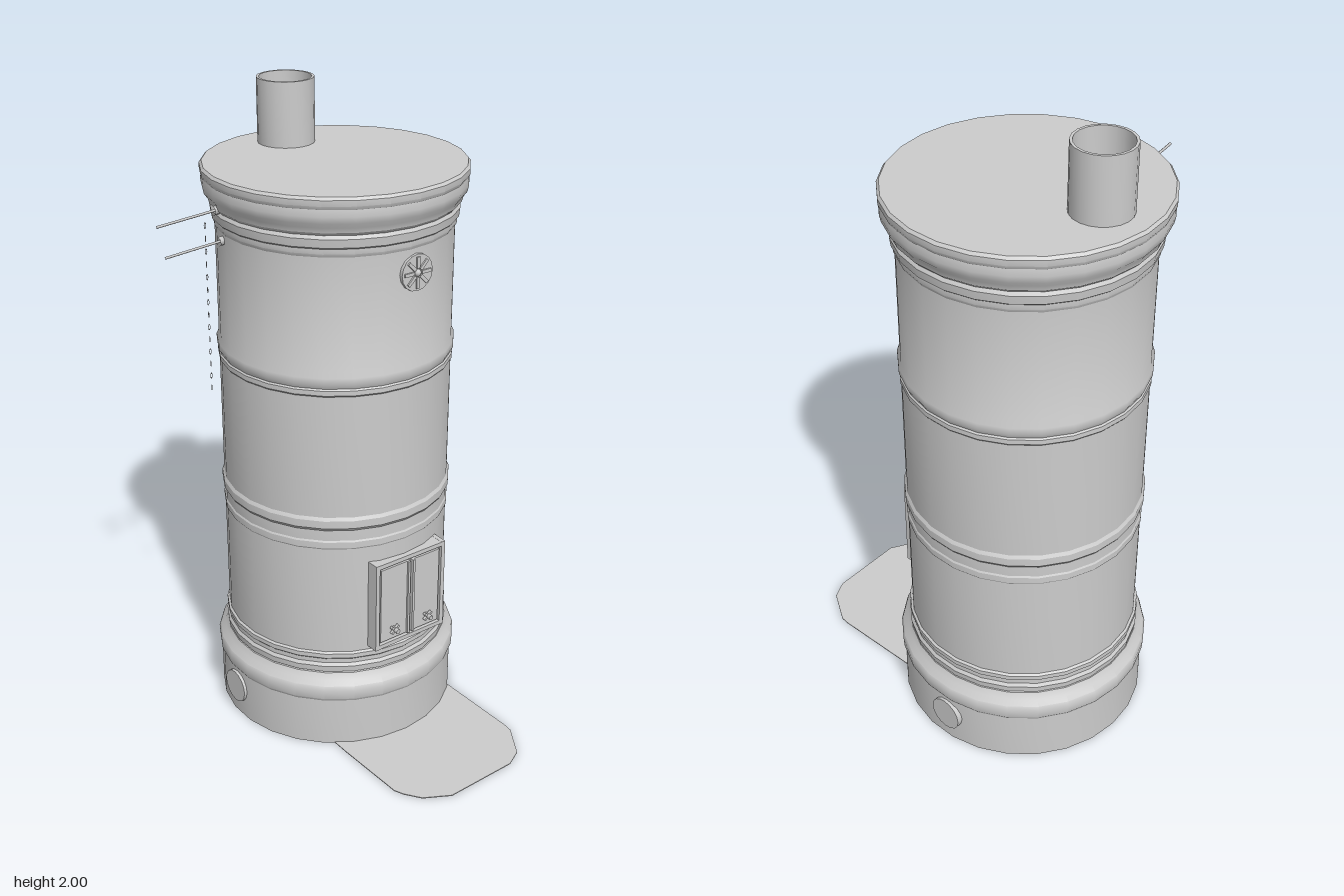
import * as THREE from 'three';
import { toCreasedNormals } from 'three/addons/utils/BufferGeometryUtils.js';

const CX = 0.09, CZ = -0.165; // axis of the stove

export function createModel() {
  const model = new THREE.Group();
  model.name = 'cylindricalStove';
  const grey = new THREE.MeshStandardMaterial({ color: 0xcccccc });
  grey.name = 'plain grey';

  function add(name, geometry, x = 0, y = 0, z = 0, parent = model) {
    const mesh = new THREE.Mesh(geometry, grey);
    mesh.name = name;
    mesh.position.set(x, y, z);
    parent.add(mesh);
    return mesh;
  }
  const lathe = (profile, sides) => toCreasedNormals(
    new THREE.LatheGeometry(profile.map(([r, y]) => new THREE.Vector2(r, y)), sides), 0.5);
  const box = (name, w, h, d, x, y, z, parent) =>
    add(name, new THREE.BoxGeometry(w, h, d), x, y, z, parent);

  // Plinth, three drums and cornice, each a stretch of one turned profile
  add('plinth', lathe([[0, 0], [0.385, 0], [0.385, 0.165], [0.391, 0.175], [0.393, 0.205],
    [0.388, 0.22], [0.372, 0.235], [0.362, 0.255], [0.352, 0.26]], 26), CX, 0, CZ);
  add('drums', lathe([[0.352, 0.255], [0.362, 0.26], [0.364, 0.28], [0.357, 0.29], [0.357, 0.305],
    [0.362, 0.31], [0.362, 0.325], [0.355, 0.33],
    [0.355, 0.70], [0.358, 0.705], [0.358, 0.725], [0.355, 0.73], [0.355, 0.765], [0.362, 0.775], [0.362, 0.80], [0.356, 0.81],
    [0.356, 1.205], [0.36, 1.21], [0.36, 1.225], [0.356, 1.23], [0.363, 1.245], [0.363, 1.265], [0.356, 1.28],
    [0.356, 1.63]], 26), CX, 0, CZ);
  add('cornice', lathe([[0.356, 1.625], [0.361, 1.635], [0.361, 1.65], [0.367, 1.655], [0.37, 1.68],
    [0.364, 1.69], [0.374, 1.70], [0.378, 1.715], [0.389, 1.73], [0.393, 1.75], [0.39, 1.77],
    [0.395, 1.78], [0.395, 1.797], [0.388, 1.805], [0, 1.805]], 26), CX, 0, CZ);

  // Open flue pipe
  add('fluePipe', lathe([[0.087, 1.79], [0.087, 2], [0.079, 2], [0.079, 1.807], [0, 1.807]], 20), 0.087, 0, -0.41);

  // Floor plate with clipped front corners
  const outline = new THREE.Shape([[-0.14, -0.08], [-0.14, -0.20], [-0.133, -0.44], [-0.12, -0.47], [-0.085, -0.518],
    [-0.005, -0.562], [0.24, -0.555], [0.295, -0.527], [0.355, -0.43], [0.358, -0.40], [0.352, -0.08]]
    .map(([x, y]) => new THREE.Vector2(x, y)));
  const plate = new THREE.ExtrudeGeometry(outline, { depth: 0.003, bevelEnabled: false });
  add('floorPlate', plate.rotateX(-Math.PI / 2));

  // Two-leaf fire door
  const door = new THREE.Group();
  door.name = 'fireDoor';
  door.position.set(0.105, 0.495, 0.165);
  model.add(door);
  box('doorBacking', 0.26, 0.29, 0.06, 0, 0, 0, door);
  for (const s of [-1, 1]) {
    box('frameSide', 0.014, 0.305, 0.075, s * 0.128, 0, 0.005, door);
    box('frameRail', 0.27, 0.014, 0.075, 0, s * 0.145, 0.005, door);
    box('doorLeaf', 0.108, 0.26, 0.02, s * 0.06, 0, 0.03, door);
    box('leafEdge', 0.008, 0.26, 0.03, s * 0.009, 0, 0.032, door);
    // Cross-shaped knob
    for (const a of [-1, 1]) {
      const bar = box('knobBar', 0.036, 0.008, 0.01, s * 0.066, -0.093, 0.05, door);
      bar.rotation.z = a * 0.7;
    }
    const stem = add('knobStem', new THREE.CylinderGeometry(0.008, 0.008, 0.03, 8), s * 0.066, -0.093, 0.053, door);
    stem.rotation.x = Math.PI / 2;
  }

  // Round cleaning covers: one rosette on the front, a plain one on each plinth side
  function cover(name, x, y, z, turn) {
    const group = new THREE.Group();
    group.name = name;
    group.position.set(x, y, z);
    group.rotation.y = turn;
    model.add(group);
    add('coverDisc', new THREE.CylinderGeometry(0.055, 0.055, 0.024, 16).rotateX(Math.PI / 2), 0, 0, 0, group);
    return group;
  }
  const rosette = cover('frontCover', 0.11, 1.555, 0.186, 0);
  for (let i = 0; i < 8; i++) {
    const a = i * Math.PI / 4;
    const petal = box('petal', 0.034, 0.01, 0.008, Math.cos(a) * 0.03, Math.sin(a) * 0.03, 0.013, rosette);
    petal.rotation.z = a;
  }
  add('rosetteBoss', new THREE.SphereGeometry(0.011, 10, 6), 0, 0, 0.012, rosette);
  cover('leftCover', CX + 0.38, 0.1, -0.19, Math.PI / 2);
  cover('rightCover', CX - 0.38, 0.1, -0.19, -Math.PI / 2);

  // Two damper rods with wall collars
  function rod(name, from, to, radius) {
    const path = new THREE.LineCurve3(new THREE.Vector3(...from), new THREE.Vector3(...to));
    add(name, new THREE.TubeGeometry(path, 1, radius, 6));
  }
  rod('upperRod', [-0.24, 1.7, -0.24], [-0.495, 1.7, -0.195], 0.004);
  rod('lowerRod', [-0.24, 1.605, -0.24], [-0.47, 1.605, -0.2], 0.004);
  rod('upperCollar', [-0.26, 1.7, -0.236], [-0.29, 1.7, -0.231], 0.014);
  rod('lowerCollar', [-0.25, 1.605, -0.238], [-0.275, 1.605, -0.234], 0.014);

  // Fine hanging chain
  for (let i = 0; i < 14; i++) {
    const link = add('chainLink', new THREE.TorusGeometry(0.004, 0.001, 4, 8), -0.345, 1.68 - i * 0.038, -0.185);
    link.scale.y = 2;
    link.rotation.y = i % 2 ? 1.2 : 0.3;
  }
  return model;
}
